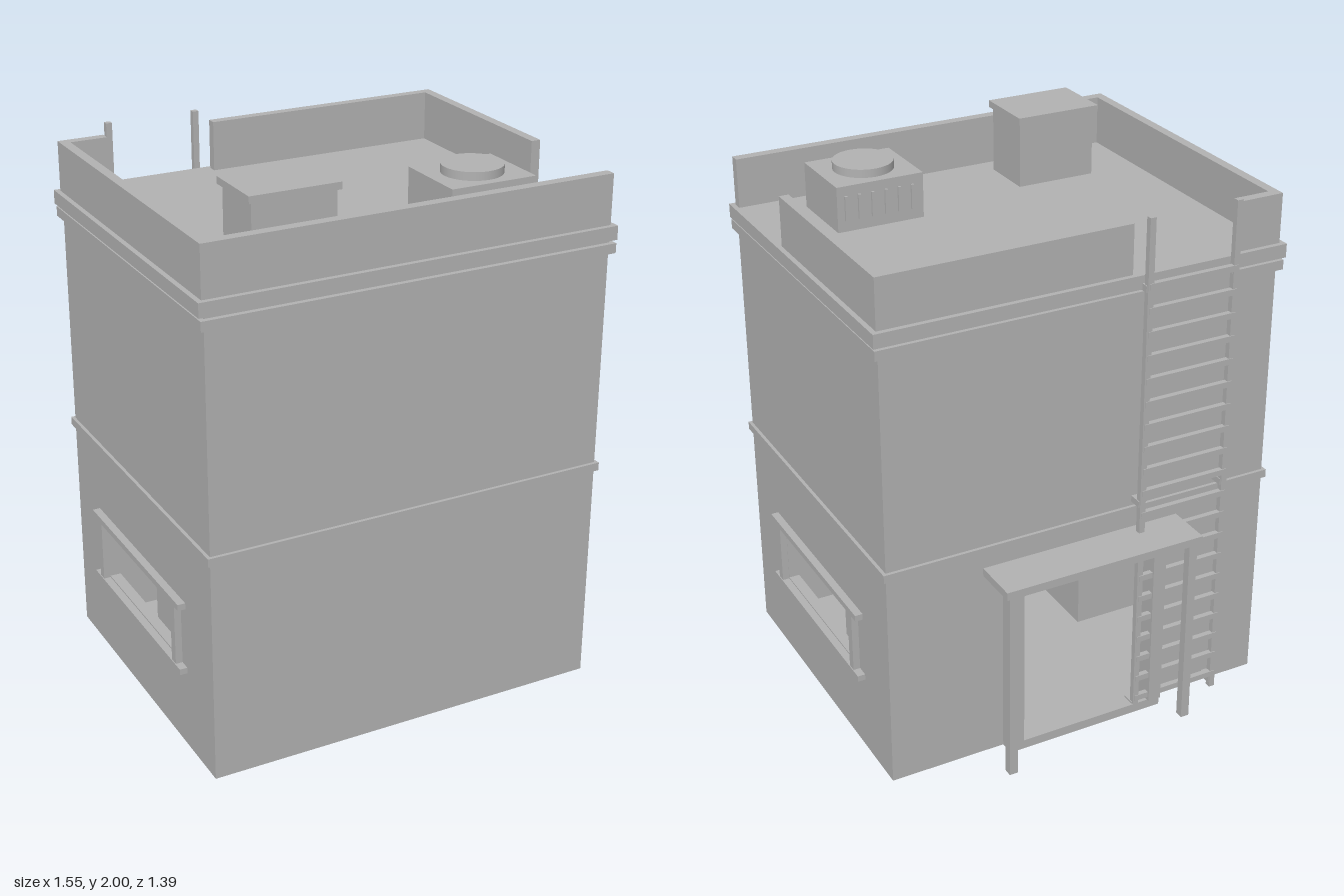
import * as THREE from 'three';

export function createModel() {
  const root = new THREE.Group();
  root.name = 'rooftopBuilding';
  const concrete = new THREE.MeshStandardMaterial({ color: 0xb2b2b2 });
  concrete.name = 'concrete grey';

  const add = (name, geometry, parent = root) => {
    const mesh = new THREE.Mesh(geometry, concrete);
    mesh.name = name;
    parent.add(mesh);
    return mesh;
  };
  // Box given by its extents on each axis
  const box = (name, x0, x1, y0, y1, z0, z1, parent = root) => {
    const g = new THREE.BoxGeometry(x1 - x0, y1 - y0, z1 - z0);
    g.translate((x0 + x1) / 2, (y0 + y1) / 2, (z0 + z1) / 2);
    return add(name, g, parent);
  };
  const group = (name) => {
    const g = new THREE.Group();
    g.name = name;
    root.add(g);
    return g;
  };
  // Wall panel in its own plane with one rectangular opening
  const panel = (u0, u1, height, [a0, a1, b0, b1], depth) => {
    const rect = (P, x0, x1, y0, y1) => new P([
      new THREE.Vector2(x0, y0), new THREE.Vector2(x1, y0),
      new THREE.Vector2(x1, y1), new THREE.Vector2(x0, y1)]);
    const shape = rect(THREE.Shape, u0, u1, 0, height);
    shape.holes.push(rect(THREE.Path, a0, a1, b0, b1));
    return new THREE.ExtrudeGeometry(shape, { depth, bevelEnabled: false });
  };

  const W = 0.745, T = 0.04, ZB = -0.52, ZF = 0.68, ROOF = 1.735;

  // Hollow body: floors, front wall, back wall with doorway, side walls with windows
  const body = group('body');
  box('groundFloor', -W + T, W - T, 0, 0.02, ZB + T, ZF - T, body);
  box('ceiling', -W + T, W - T, 0.78, 0.82, ZB + T, ZF - T, body);
  box('frontWall', -W + T, W - T, 0, 1.7, ZF - T, ZF, body);
  add('backWall', panel(-W + T, W - T, 1.7, [-0.26, 0.26, 0.025, 0.675], T), body)
    .position.z = ZB;
  for (const s of [1, -1]) {
    const g = panel(ZB, ZF, 1.7, [-0.235, 0.39, 0.325, 0.53], T);
    g.rotateY(-Math.PI / 2);
    g.translate(s > 0 ? W : -W + T, 0, 0);
    add(s > 0 ? 'leftWall' : 'rightWall', g, body);
  }

  // Horizontal bands; the uppermost is the roof slab
  const band = (name, out, y0, y1) => {
    for (const s of [-1, 1]) {
      box(name, Math.min(s * W, s * (W + out)), Math.max(s * W, s * (W + out)), y0, y1, ZB - out, ZF + out);
    }
    box(name, -W, W, y0, y1, ZF, ZF + out);
    box(name, -W, W, y0, y1, ZB - out, ZB);
  };
  band('middleBand', 0.012, 0.825, 0.855);
  band('lowerCornice', 0.018, 1.64, 1.675);
  box('roofSlab', -0.768, 0.768, 1.685, ROOF, -0.543, 0.695);

  // Parapet with gaps for the ladder and on the left side
  const parapet = group('parapet');
  const P = 1.915;
  box('parapetFront', -0.715, 0.75, ROOF, P, 0.64, 0.677, parapet);
  box('parapetRight', -0.75, -0.715, ROOF, P, -0.525, 0.677, parapet);
  box('parapetLeft', 0.715, 0.75, ROOF, P, -0.49, 0.24, parapet);
  box('parapetBack', -0.17, 0.75, ROOF, P, -0.525, -0.49, parapet);
  box('parapetBackCorner', -0.715, -0.58, ROOF, P, -0.525, -0.49, parapet);

  // Roof hatch with overhanging lid
  const hatch = group('roofHatch');
  box('hatchBody', -0.525, -0.225, ROOF, 1.975, 0.355, 0.563, hatch);
  box('hatchLid', -0.538, -0.214, 1.975, 2.0, 0.34, 0.575, hatch);

  // Ventilation unit with round fan and slats
  const unit = group('ventilationUnit');
  box('unitBody', 0.21, 0.535, ROOF, 1.9, 0.257, 0.54, unit);
  const fan = new THREE.CylinderGeometry(0.108, 0.108, 0.03, 32);
  fan.translate(0.372, 1.915, 0.4);
  add('fanCover', fan, unit);
  for (let i = 0; i < 6; i++) {
    const x = 0.253 + i * 0.05;
    box('ventSlat', x - 0.005, x + 0.005, 1.775, 1.865, 0.248, 0.257, unit);
  }

  // Window frames on both sides
  for (const s of [-1, 1]) {
    const frame = group(s > 0 ? 'leftWindow' : 'rightWindow');
    const bar = (name, out, y0, y1, z0, z1) => {
      const a = s * W, b = s * (W + out);
      box(name, Math.min(a, b), Math.max(a, b), y0, y1, z0, z1, frame);
    };
    bar('windowHead', 0.028, 0.55, 0.573, -0.31, 0.465);
    bar('windowSill', 0.028, 0.298, 0.32, -0.31, 0.465);
    bar('windowPost', 0.025, 0.32, 0.55, 0.392, 0.425);
    bar('windowPost', 0.025, 0.32, 0.55, -0.267, -0.235);
  }

  // Back porch: canopy, posts and door surround
  const porch = group('porch');
  box('canopy', -0.385, 0.385, 0.738, 0.768, -0.695, ZB, porch);
  box('doorLintel', -0.325, 0.325, 0.675, 0.72, -0.605, ZB, porch);
  box('doorThreshold', -0.31, 0.31, 0, 0.035, -0.575, ZB, porch);
  for (const s of [-1, 1]) {
    box('canopyPost', s * 0.355 - 0.016, s * 0.355 + 0.016, 0, 0.738, -0.685, -0.653, porch);
    box('doorJamb', s * 0.285 - 0.025, s * 0.285 + 0.025, 0.035, 0.675, -0.585, ZB, porch);
  }

  // Ladder with rails, wall brackets and rungs
  const ladder = group('ladder');
  for (const x of [-0.545, -0.21]) {
    box('ladderRail', x - 0.011, x + 0.011, 0, 1.945, -0.575, -0.553, ladder);
    for (const y of [0.03, 0.882, 1.695]) {
      box('ladderBracket', x - 0.014, x + 0.014, y - 0.012, y + 0.012, -0.57, ZB, ladder);
    }
  }
  for (let i = 0; i < 20; i++) {
    const y = 0.06 + i * 0.0865;
    box('ladderRung', -0.55, -0.205, y - 0.011, y + 0.011, -0.578, -0.558, ladder);
  }

  // Indoor blocks seen through the openings
  const indoor = group('indoorFurniture');
  box('counter', -0.66, -0.3, 0.02, 0.49, 0.005, 0.45, indoor);
  box('cabinet', 0.365, 0.69, 0.02, 0.46, -0.18, -0.02, indoor);

  return root;
}
